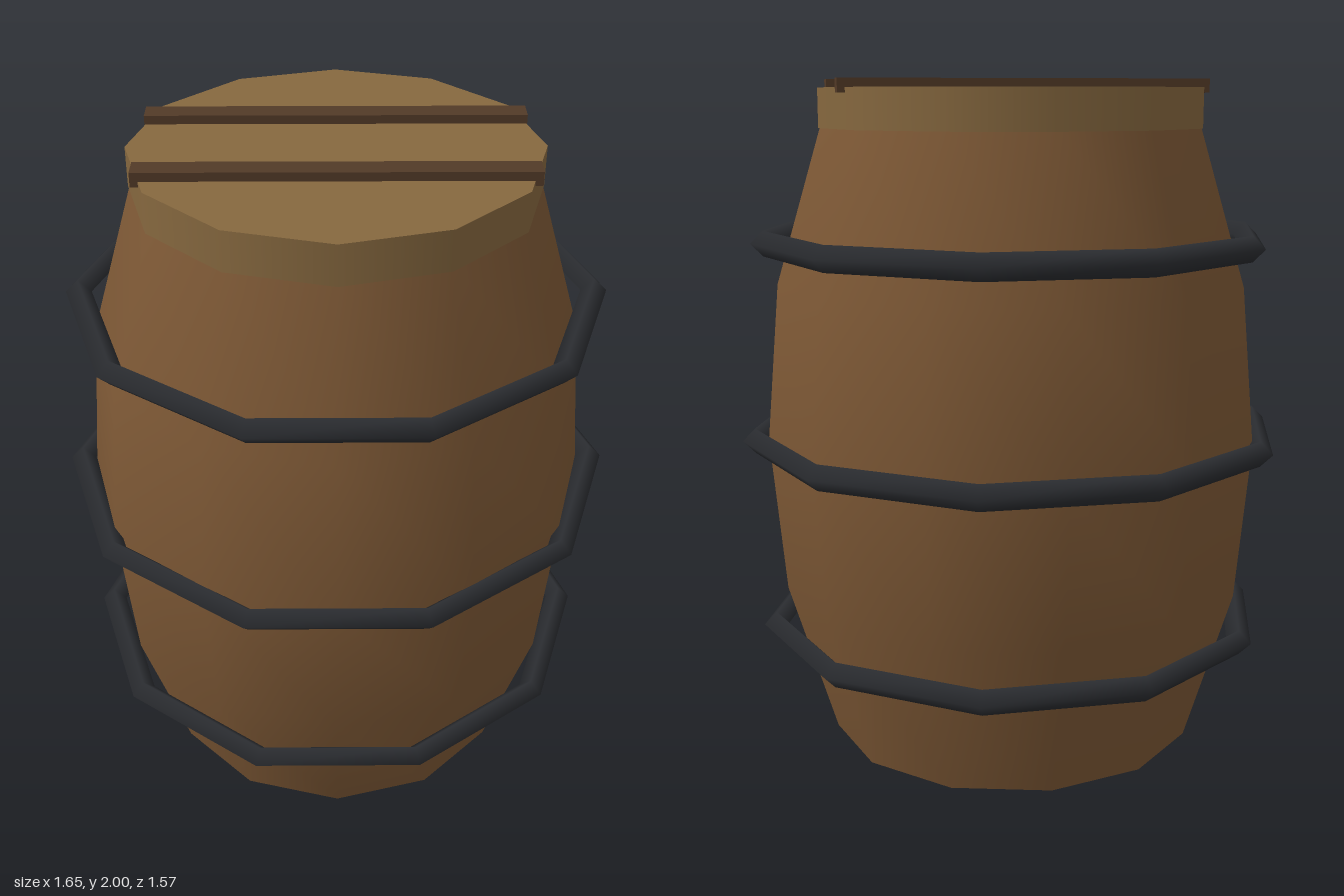
import * as THREE from 'three';

const material = (color) => new THREE.MeshStandardMaterial({ color });

export function createModel() {
  const barrel = new THREE.Group();
  barrel.name = 'barrel';
  const wood = material(0x7d5835);
  const lidWood = material(0x86683f);
  const darkWood = material(0x523a27);
  const iron = material(0x2b2d31);

  const add = (name, geometry, mat, x = 0, y = 0, z = 0) => {
    const mesh = new THREE.Mesh(geometry, mat);
    mesh.name = name;
    mesh.position.set(x, y, z);
    barrel.add(mesh);
    return mesh;
  };

  // Bulging twelve-sided body, closed at the bottom
  const profile = [[0.563, 0], [0.705, 0.47], [0.747, 0.94], [0.705, 1.41], [0.563, 1.88]];
  add('body', new THREE.LatheGeometry(profile.map(([r, y]) => new THREE.Vector2(r, y)), 12), wood);
  add('bottom', new THREE.CircleGeometry(0.563, 12).rotateX(Math.PI / 2), wood);

  // Lid with two battens across it
  add('lid', new THREE.CylinderGeometry(0.573, 0.573, 0.115, 12), lidWood, 0, 1.9175, 0);
  for (const side of [-1, 1]) {
    add(side > 0 ? 'frontBatten' : 'backBatten',
      new THREE.BoxGeometry(1.07, 0.04, 0.068), darkWood, 0, 1.98, side * 0.188);
  }

  // Ten-sided hoops with a diamond section
  const hoops = [['lowerHoop', 0.743, 0.355], ['middleHoop', 0.787, 0.94], ['upperHoop', 0.743, 1.53]];
  for (const [name, radius, y] of hoops) {
    add(name, new THREE.TorusGeometry(radius, 0.0375, 4, 10).rotateX(Math.PI / 2), iron, 0, y, 0);
  }

  return barrel;
}
